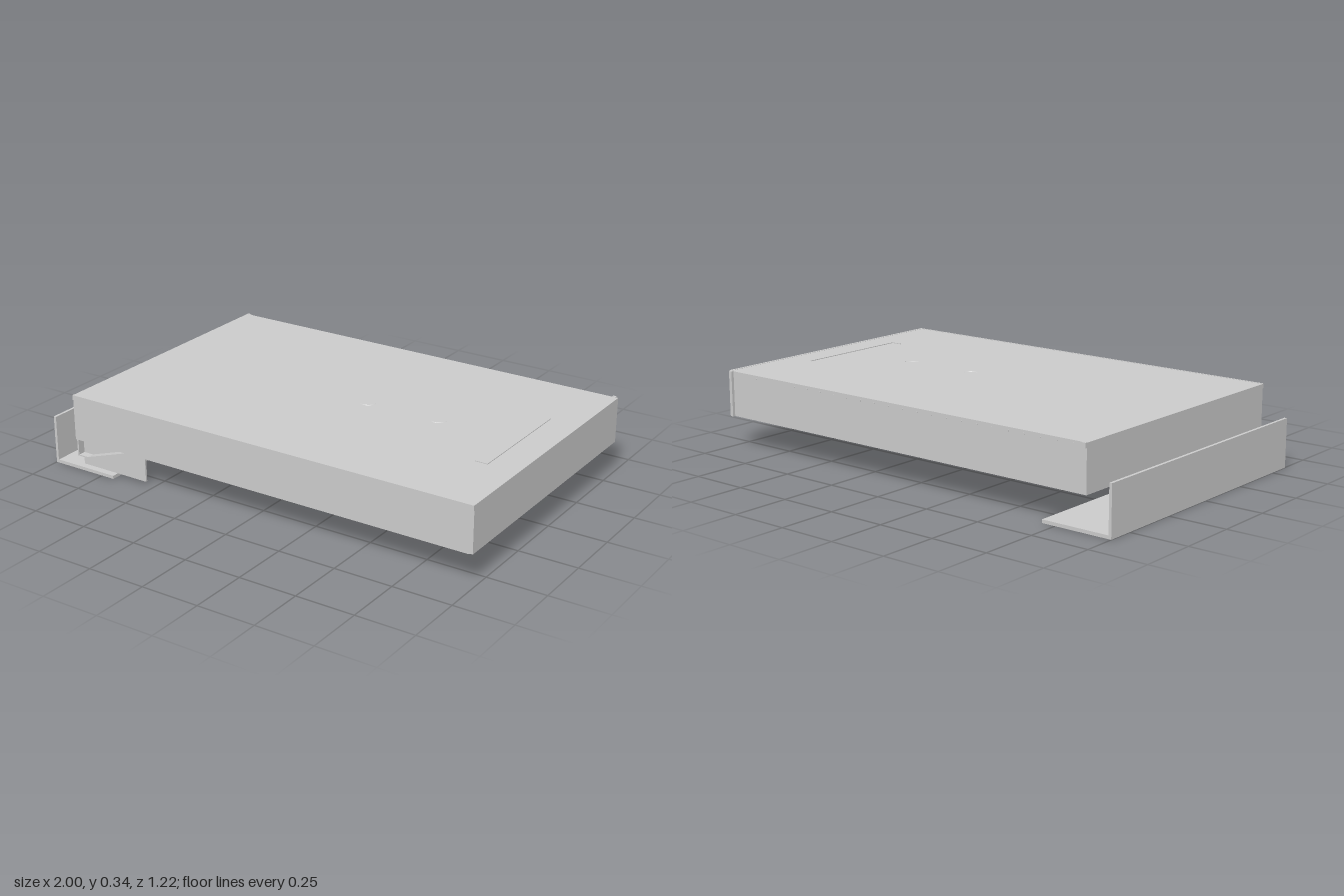
import * as THREE from 'three';

const material = new THREE.MeshStandardMaterial({ color: 0xcccccc, flatShading: true, side: THREE.DoubleSide });

function add(group, name, geometry) {
  const mesh = new THREE.Mesh(geometry, material);
  mesh.name = name;
  group.add(mesh);
  return mesh;
}

// Box given by its limits on each axis
function block(group, name, [x0, x1], [y0, y1], [z0, z1]) {
  const mesh = add(group, name, new THREE.BoxGeometry(x1 - x0, y1 - y0, z1 - z0));
  mesh.position.set((x0 + x1) / 2, (y0 + y1) / 2, (z0 + z1) / 2);
  return mesh;
}

// Outline in x, y pushed along z
function plate(group, name, points, z0, z1) {
  const shape = new THREE.Shape(points.map(([x, y]) => new THREE.Vector2(x, y)));
  const mesh = add(group, name, new THREE.ExtrudeGeometry(shape, { depth: z1 - z0, bevelEnabled: false }));
  mesh.position.z = z0;
  return mesh;
}

export function createModel() {
  const model = new THREE.Group();
  model.name = 'enclosure';

  // Flat case with its panels
  const housing = new THREE.Group();
  housing.name = 'case';
  model.add(housing);
  block(housing, 'body', [-0.88, 0.985], [0.138, 0.332], [-0.6, 0.602]);
  block(housing, 'endPanel', [0.985, 0.998], [0.138, 0.333], [-0.598, 0.606]);
  plate(housing, 'frontPanel', [[-0.88, 0.135], [0.98, 0.135], [0.998, 0.142], [0.998, 0.333], [-0.88, 0.333]], 0.602, 0.606);
  block(housing, 'frontLip', [-0.88, 0.998], [0.312, 0.3335], [0.606, 0.61]);
  block(housing, 'cornerPost', [0.97, 0.985], [0.138, 0.333], [-0.612, -0.6]);
  block(housing, 'backCornerTab', [-0.88, -0.86], [0.312, 0.333], [-0.608, -0.6]);

  // Row of small fasteners under the back edge
  for (let i = 0; i < 24; i++) {
    const rivet = add(housing, 'rivet', new THREE.CylinderGeometry(0.004, 0.004, 0.002, 8));
    rivet.rotation.x = Math.PI / 2;
    rivet.position.set(-0.82 + i * 0.075, 0.318, -0.601);
  }

  // Thin ridges and curved marks on the lid
  block(housing, 'lidRidge', [0.862, 0.868], [0.33, 0.335], [-0.25, 0.27]);
  block(housing, 'lidRidge', [0.815, 0.868], [0.33, 0.335], [0.266, 0.272]);
  for (const x of [0.17, 0.5]) {
    const arc = add(housing, 'lidArc', new THREE.TorusGeometry(0.035, 0.002, 4, 16, Math.PI * 0.7));
    arc.rotation.x = Math.PI / 2;
    arc.position.set(x, 0.332, 0);
  }

  // Angle bracket below the left-hand end
  const bracket = new THREE.Group();
  bracket.name = 'angleBracket';
  model.add(bracket);
  plate(bracket, 'angle', [[-1, 0], [-0.69, 0], [-0.69, 0.014], [-0.988, 0.014], [-0.988, 0.208], [-1, 0.208]], -0.612, 0.602);

  // Chute under the case: side plates, bent flanges and sloping slats
  const chute = new THREE.Group();
  chute.name = 'chute';
  model.add(chute);
  plate(chute, 'outerSide', [[-0.87, 0.014], [-0.54, 0.014], [-0.54, 0.138], [-0.87, 0.138]], 0.564, 0.572);
  plate(chute, 'innerSide', [[-0.82, 0.066], [-0.64, 0.036], [-0.525, 0.036], [-0.525, 0.138], [-0.82, 0.138]], -0.014, -0.006);
  const bend = [[-0.872, 0.062], [-0.82, 0.062], [-0.59, 0.138], [-0.605, 0.138], [-0.822, 0.067], [-0.872, 0.067]];
  plate(chute, 'outerFlange', bend, 0.572, 0.604);
  plate(chute, 'innerFlange', bend, -0.03, 0.008);
  block(chute, 'rearWall', [-0.875, -0.868], [0.062, 0.138], [-0.03, 0.604]);
  for (let i = 0; i < 6; i++) {
    const slat = add(chute, 'slat', new THREE.BoxGeometry(0.018, 0.006, 0.57));
    slat.position.set(-0.628 + i * 0.0165, 0.081 + i * 0.0098, 0.279);
    slat.rotation.z = 0.45;
  }

  return model;
}
